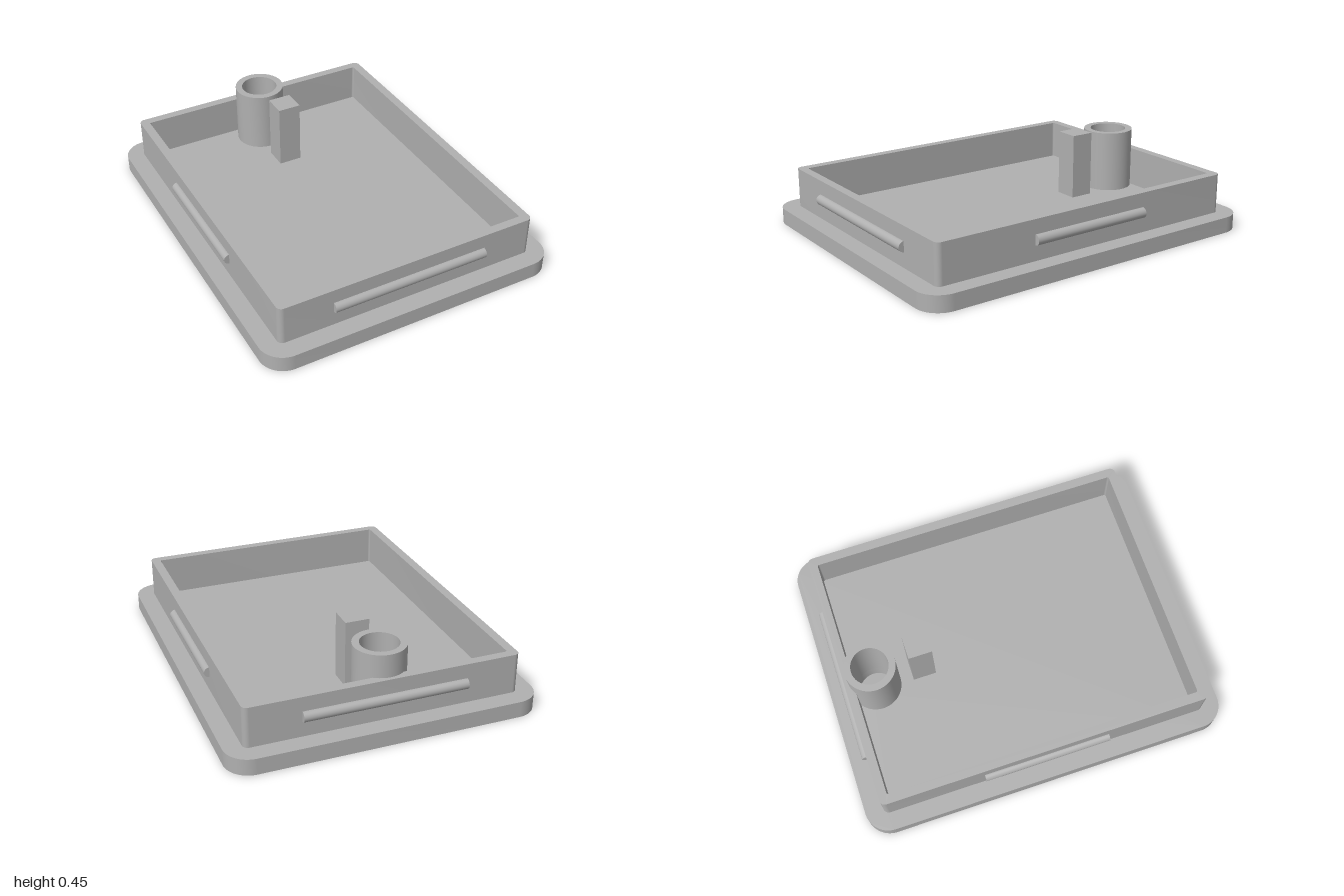
import * as THREE from 'three';

const BASE_TOP = 0.087, WALL_TOP = 0.302;
const HOLE_X = -0.025, HOLE_Z = -0.745, HOLE_R = 0.1;

// Rounded rectangle outline centred on the origin
function roundedRect(PathType, hx, hz, r) {
  const p = new PathType();
  p.moveTo(hx, -hz + r);
  p.absarc(hx - r, hz - r, r, 0, Math.PI / 2);
  p.absarc(-hx + r, hz - r, r, Math.PI / 2, Math.PI);
  p.absarc(-hx + r, -hz + r, r, Math.PI, Math.PI * 1.5);
  p.absarc(hx - r, -hz + r, r, Math.PI * 1.5, Math.PI * 2);
  return p;
}

function circle(PathType, r) {
  // Shape y maps to -z once the extrusion is laid flat
  return new PathType().absarc(HOLE_X, -HOLE_Z, r, 0, Math.PI * 2);
}

// Extrude a flat outline upwards from y0 to y1, with smooth curved sides
function extrudeUp(shape, y0, y1) {
  const g = new THREE.ExtrudeGeometry(shape, { depth: y1 - y0, bevelEnabled: false, curveSegments: 24 });
  g.rotateX(-Math.PI / 2);
  g.translate(0, y0, 0);
  return smoothSides(g);
}

// Average the normals of side faces that meet at a shallow angle
function smoothSides(g) {
  const pos = g.attributes.position, nor = g.attributes.normal;
  const buckets = new Map();
  for (let i = 0; i < pos.count; i++) {
    const key = [pos.getX(i), pos.getY(i), pos.getZ(i)].map(v => Math.round(v * 1e4)).join();
    if (!buckets.has(key)) buckets.set(key, []);
    buckets.get(key).push({ i, n: new THREE.Vector3().fromBufferAttribute(nor, i) });
  }
  for (const list of buckets.values()) {
    for (const a of list) {
      const sum = new THREE.Vector3();
      for (const b of list) if (a.n.dot(b.n) > 0.8) sum.add(b.n);
      sum.normalize();
      nor.setXYZ(a.i, sum.x, sum.y, sum.z);
    }
  }
  return g;
}

export function createModel() {
  const group = new THREE.Group();
  const grey = new THREE.MeshStandardMaterial({ color: 0xb0b0b0 });
  grey.name = 'grey plastic';

  const add = (name, geometry) => {
    const mesh = new THREE.Mesh(geometry, grey);
    mesh.name = name;
    group.add(mesh);
    return mesh;
  };

  // Base plate with a through hole
  const plate = roundedRect(THREE.Shape, 0.815, 1, 0.13);
  plate.holes.push(circle(THREE.Path, HOLE_R));
  add('basePlate', extrudeUp(plate, 0, BASE_TOP));

  // Raised rim wall
  const rim = roundedRect(THREE.Shape, 0.72, 0.902, 0.03);
  rim.holes.push(roundedRect(THREE.Path, 0.671, 0.855, 0.01));
  add('rimWall', extrudeUp(rim, BASE_TOP, WALL_TOP));

  // Hollow tube around the hole
  const tube = circle(THREE.Shape, 0.137);
  tube.holes.push(circle(THREE.Path, HOLE_R));
  add('tube', extrudeUp(tube, BASE_TOP, 0.425));

  // Square post beside the tube
  const postHeight = 0.446 - BASE_TOP;
  add('post', new THREE.BoxGeometry(0.128, postHeight, 0.128))
    .position.set(0.005, BASE_TOP + postHeight / 2, -0.477);

  // Snap ridges half sunk into the four walls
  const longRidge = new THREE.CylinderGeometry(0.028, 0.028, 0.86, 24).rotateZ(Math.PI / 2);
  const shortRidge = new THREE.CylinderGeometry(0.028, 0.028, 0.69, 24).rotateX(Math.PI / 2);
  for (const s of [1, -1]) {
    add(s > 0 ? 'frontRidge' : 'backRidge', longRidge).position.set(0, 0.196, s * 0.902);
    add(s > 0 ? 'leftRidge' : 'rightRidge', shortRidge).position.set(s * 0.72, 0.196, 0);
  }

  return group;
}
